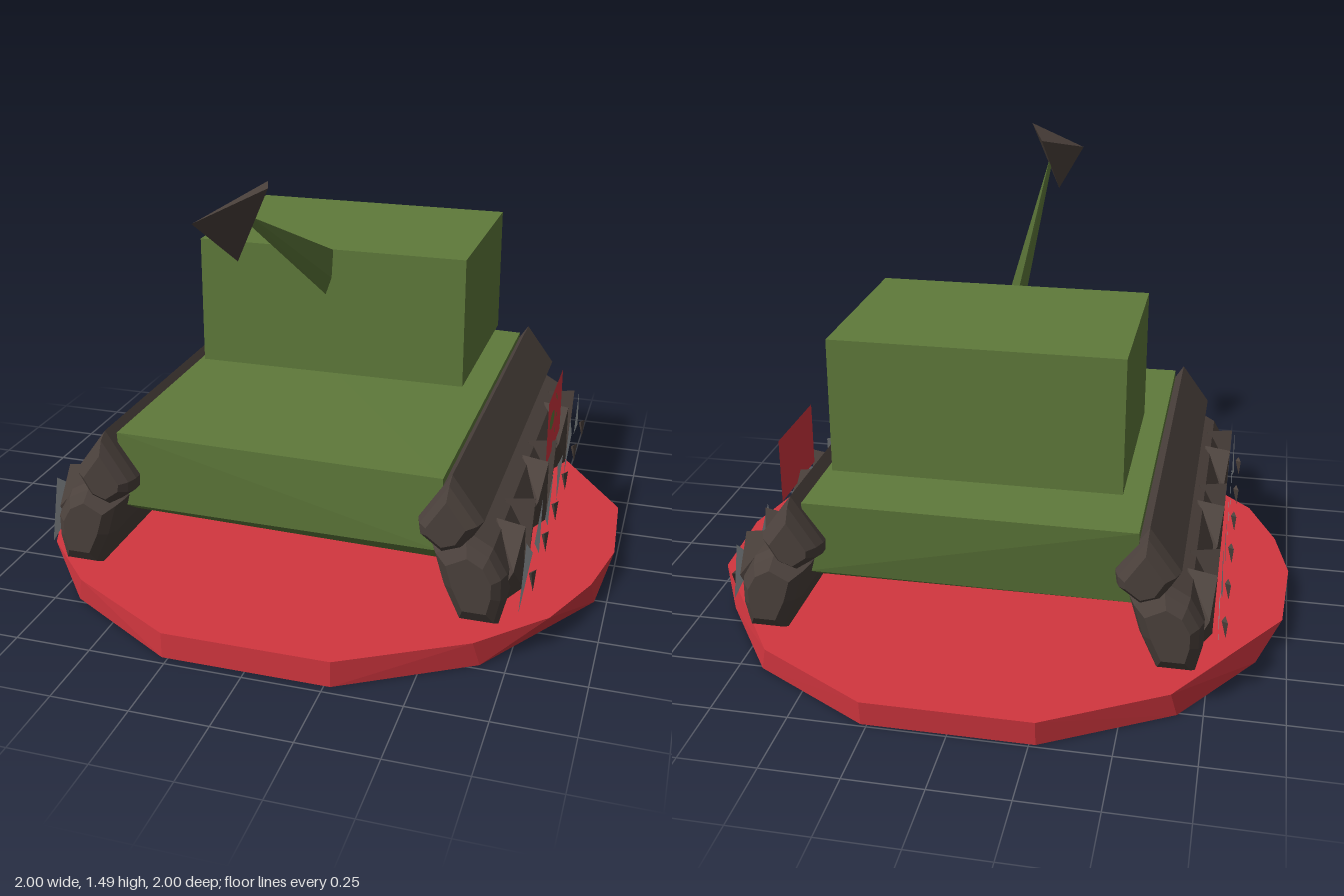
import * as THREE from 'three';
import { ConvexGeometry } from 'three/addons/geometries/ConvexGeometry.js';

const mat = (name, color, side = THREE.FrontSide) => {
  const m = new THREE.MeshStandardMaterial({ color, side, flatShading: true });
  m.name = name;
  return m;
};

export function createModel() {
  const green = mat('olive green', 0x5f7a3b);
  const red = mat('red', 0xd2363f, THREE.DoubleSide);
  const brown = mat('dark brown', 0x4b413c);
  const grey = mat('steel grey', 0xa0a6aa, THREE.DoubleSide);
  const model = new THREE.Group();

  const add = (name, geometry, material, parent = model) => {
    const mesh = new THREE.Mesh(geometry, material);
    mesh.name = name;
    parent.add(mesh);
    return mesh;
  };
  // Faceted convex solid from its corner points
  const solid = (name, points, material, parent) =>
    add(name, new ConvexGeometry(points.map((p) => new THREE.Vector3(...p))), material, parent);

  // Base: irregular faceted disc, one half outline mirrored
  const rim = [[0.27, -1], [0.65, -0.78], [0.98, -0.28], [1, 0.06], [0.95, 0.3], [0.85, 0.54], [0.65, 0.75], [0.27, 0.97]];
  const disc = [];
  for (const s of [-1, 1]) {
    rim.forEach(([x, z]) => disc.push([s * x, 0.085, z]));
    [[0.27, -0.99], [0.67, -0.76], [0.9, -0.42], [0.98, -0.1], [0.96, 0.26], [0.67, 0.73], [0.27, 0.97]]
      .forEach(([x, z]) => disc.push([s * x, 0, z]));
  }
  solid('base', disc, red);

  // Hull: slab whose ends slope inward towards the bottom
  solid('hull', [
    [-0.53, 0.59, -0.72], [0.53, 0.575, -0.69], [-0.53, 0.59, 0.67], [0.53, 0.58, 0.68],
    [-0.53, 0.32, -0.66], [0.53, 0.32, -0.66], [-0.53, 0.33, 0.65], [0.53, 0.34, 0.68],
    [-0.5, 0.29, -0.6], [0.5, 0.28, -0.6], [-0.5, 0.3, 0.61], [0.5, 0.28, 0.61],
  ], green);

  // Turret
  add('turret', new THREE.BoxGeometry(0.926, 0.44, 0.664), green).position.set(0, 0.86, -0.24);

  // Gun: thin blade barrel and a four-sided muzzle
  solid('barrel', [
    [-0.015, 0.92, 0.09], [0.012, 1.078, 0.09], [-0.012, 1.06, 0.09], [0.006, 0.98, 0.09],
    [0.004, 1.372, 0.83], [-0.004, 1.35, 0.83],
  ], green);
  solid('muzzle', [[-0.104, 1.387, 1], [0.094, 1.485, 0.945], [0.02, 1.455, 0.74], [-0.03, 1.25, 0.858]], brown);

  // Track bar: cross-section swept along z with shrunken ends
  const bar = (section, s) => {
    const cx = section.reduce((a, p) => a + p[0], 0) / section.length;
    const cy = section.reduce((a, p) => a + p[1], 0) / section.length;
    const points = [];
    for (const [z, k] of [[-0.765, 0.6], [-0.735, 0.87], [-0.7, 1], [0.69, 1], [0.725, 0.87], [0.75, 0.6]])
      section.forEach(([x, y]) => points.push([s * (cx + k * (x - cx)), cy + k * (y - cy), z]));
    return points;
  };
  const upper = [[0.56, 0.602], [0.46, 0.45], [0.465, 0.41], [0.54, 0.355], [0.61, 0.38], [0.66, 0.465]];
  const lower = [[0.61, 0.425], [0.505, 0.37], [0.54, 0.25], [0.595, 0.13], [0.715, 0.13], [0.735, 0.22], [0.735, 0.3], [0.69, 0.38]];

  // Side teeth as [z, y] corners
  const teeth = [
    [[0.64, 0.385], [0.457, 0.257], [0.68, 0.17]],
    [[0.457, 0.29], [0.276, 0.36], [0.27, 0.155]],
    [[0.227, 0.262], [0.03, 0.348], [0.078, 0.16]],
    [[-0.04, 0.337], [-0.227, 0.294], [-0.13, 0.155]],
    [[-0.35, 0.385], [-0.473, 0.273], [-0.318, 0.17]],
    [[-0.5, 0.257], [-0.644, 0.38], [-0.703, 0.214]],
  ];

  for (const s of [-1, 1]) {
    const track = new THREE.Group();
    track.name = s > 0 ? 'leftTrack' : 'rightTrack';
    model.add(track);
    solid('upperTrack', bar(upper, s), brown, track);
    solid('lowerTrack', bar(lower, s), brown, track);

    teeth.forEach((corners, i) => {
      // Flat steel tooth
      const g = new THREE.BufferGeometry();
      const order = s > 0 ? [...corners].reverse() : corners;
      g.setAttribute('position', new THREE.Float32BufferAttribute(
        order.flatMap(([z, y], j) => [s * (0.772 + 0.004 * j), y, z]), 3));
      g.computeVertexNormals();
      add('tooth', g, grey, track);
      const z = (corners[0][0] + corners[1][0] + corners[2][0]) / 3;
      // Small spike standing off the tooth
      solid('spike', [[s * 0.795, 0.27, z + 0.015], [s * 0.805, 0.265, z - 0.02], [s * 0.8, 0.2, z], [s * 0.785, 0.26, z]], brown, track);
      // Wheel shard behind the tooth
      const t = i % 2 ? 1 : -1;
      solid('wheelShard', [
        [s * 0.67, 0.4, z + 0.06 * t], [s * 0.764, 0.4, z + 0.03 * t], [s * 0.757, 0.15, z + 0.1 * t],
        [s * 0.68, 0.15, z - 0.07 * t], [s * 0.75, 0.3, z - 0.08 * t],
      ], brown, track);
    });
  }

  // Flag on the left side with green blots
  const flag = add('flag', new THREE.PlaneGeometry(0.34, 0.23), red);
  flag.rotation.y = Math.PI / 2;
  flag.position.set(0.75, 0.48, -0.12);
  const blot = (z, y, w, h, sides) => {
    const m = add('flagBlot', new THREE.CircleGeometry(1, sides), green);
    m.rotation.y = Math.PI / 2;
    m.scale.set(w, h, 1);
    m.position.set(0.754, y, z);
  };
  blot(-0.025, 0.508, 0.06, 0.03, 7);
  [[-0.1, 0.57], [-0.145, 0.545], [-0.145, 0.48], [-0.1, 0.44]].forEach(([z, y]) => blot(z, y, 0.01, 0.013, 5));

  return model;
}
